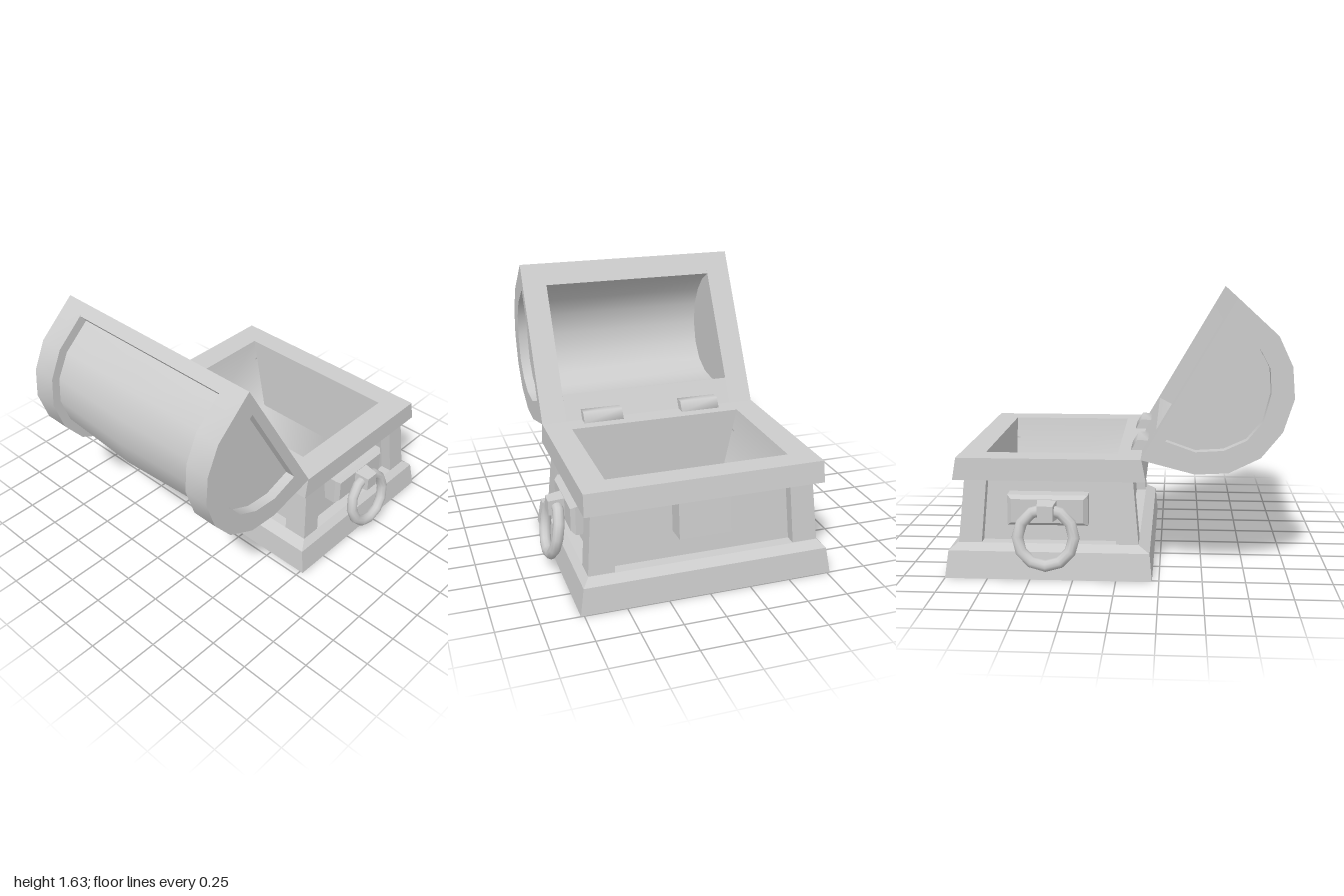
import * as THREE from 'three';
import { toCreasedNormals } from 'three/addons/utils/BufferGeometryUtils.js';

const material = new THREE.MeshStandardMaterial({ color: 0xcccccc, side: THREE.DoubleSide });

function add(parent, name, geometry) {
  const mesh = new THREE.Mesh(geometry, material);
  mesh.name = name;
  parent.add(mesh);
  return mesh;
}

// Faceted skin over rectangles [y, x0, x1, z0, z1]; optional end caps
function loft(rings, capEnd = false) {
  const loops = rings.map(([y, x0, x1, z0, z1]) =>
    [[x0, y, z1], [x1, y, z1], [x1, y, z0], [x0, y, z0]]);
  const pos = [];
  const quad = (a, b, c, d) => pos.push(...a, ...b, ...c, ...a, ...c, ...d);
  for (let i = 0; i < loops.length - 1; i++) {
    for (let j = 0; j < 4; j++) {
      const k = (j + 1) % 4;
      quad(loops[i][j], loops[i][k], loops[i + 1][k], loops[i + 1][j]);
    }
  }
  if (capEnd) quad(...loops[loops.length - 1]);
  const g = new THREE.BufferGeometry();
  g.setAttribute('position', new THREE.Float32BufferAttribute(pos, 3));
  g.computeVertexNormals();
  return g;
}
const sym = (y, x0, x1, z) => [y, x0, x1, -z, z];

// Prism of an x-y outline between two z values, smooth around gentle bends
function prism(points, z0, z1, { hole, crease = 0.6, steps = 1 } = {}) {
  const toV = (list) => list.map(([x, y]) => new THREE.Vector2(x, y));
  const shape = new THREE.Shape(toV(points));
  if (hole) shape.holes.push(new THREE.Path(toV(hole)));
  const g = new THREE.ExtrudeGeometry(shape, { depth: z1 - z0, steps, bevelEnabled: false });
  g.translate(0, 0, z0);
  return toCreasedNormals(g, crease);
}

function buildBase() {
  const base = new THREE.Group();
  base.name = 'base';
  // Open-bottomed skirt with a bevelled shoulder
  add(base, 'skirt', loft([sym(0, -0.21, 1, 0.77), sym(0.16, -0.195, 0.98, 0.745),
    sym(0.2, -0.13, 0.93, 0.705), sym(0.2, -0.065, 0.86, 0.635)]));
  add(base, 'recessedWalls', loft([sym(0.2, -0.065, 0.86, 0.635), sym(0.58, -0.03, 0.825, 0.605)]));
  add(base, 'rim', loft([sym(0.58, -0.03, 0.825, 0.605), sym(0.58, -0.17, 0.95, 0.725),
    sym(0.71, -0.145, 0.928, 0.722), sym(0.71, 0, 0.78, 0.56)]));

  // Cavity with sloping sides that blend softly into the floor
  const cavity = loft([sym(0.71, 0, 0.78, 0.56), sym(0.185, 0, 0.78, 0.45)], true);
  add(base, 'interior', toCreasedNormals(cavity, 1.45));
  const underside = new THREE.PlaneGeometry(1.09, 1.44).rotateX(Math.PI / 2);
  add(base, 'underside', underside).position.set(0.4, 0.18, 0);

  // Tapered corner posts
  for (const s of [1, -1]) {
    const zs = (a, b) => (s > 0 ? [a, b] : [-b, -a]);
    add(base, 'cornerPost', loft([[0.2, -0.13, 0, ...zs(0.55, 0.705)],
      [0.58, -0.095, 0.035, ...zs(0.53, 0.675)]]));
    add(base, 'cornerPost', loft([[0.2, 0.79, 0.925, ...zs(0.55, 0.705)],
      [0.58, 0.76, 0.89, ...zs(0.53, 0.675)]]));
  }

  // Lock flap on the front wall
  add(base, 'lockFlap', prism([[0.81, 0.58], [0.83, 0.36], [0.97, 0.365], [0.948, 0.58]], -0.135, 0.18));
  return base;
}

function buildHandle() {
  const handle = new THREE.Group();
  handle.name = 'sideHandle';
  const plate = loft([sym(0.6, -0.235, 0.235, 0.09), sym(0.7, -0.235, 0.235, 0.09),
    sym(0.725, -0.21, 0.21, 0.07)], true).rotateX(Math.PI / 2);
  add(handle, 'handlePlate', plate).position.y = 0.4;
  const bracket = loft([sym(0.7, -0.06, 0.06, 0.06), sym(0.82, -0.045, 0.045, 0.045)], true)
    .rotateX(Math.PI / 2);
  add(handle, 'handleBracket', bracket).position.y = 0.41;
  const ring = add(handle, 'handleRing', new THREE.TorusGeometry(0.163, 0.034, 10, 12));
  ring.position.set(0, 0.265, 0.795);
  ring.rotation.x = -0.19;
  return handle;
}

function buildLid() {
  const lid = new THREE.Group();
  lid.name = 'lid';
  const outer = [[-0.675, 1.63], [-0.905, 1.42], [-0.985, 1.25], [-1, 1.07], [-0.94, 0.88],
    [-0.82, 0.73], [-0.64, 0.64], [-0.45, 0.63], [-0.14, 0.71]];
  const inset = [[-0.65, 1.47], [-0.8, 1.35], [-0.86, 1.24], [-0.87, 1.1], [-0.83, 0.94],
    [-0.74, 0.83], [-0.61, 0.77], [-0.45, 0.76], [-0.28, 0.82]];

  // End bands framing sunken D-shaped panels
  for (const s of [1, -1]) {
    const span = (a, b) => (s > 0 ? [a, b] : [-b, -a]);
    add(lid, 'endBand', prism(outer, ...span(0.565, 0.722), { hole: inset }));
    add(lid, 'endPanel', prism(inset, ...span(0.565, 0.66)));
  }

  // Hollow barrel with raised rails along both long edges
  const topRail = [[-0.675, 1.63], [-0.735, 1.575], [-0.695, 1.528]];
  const arc = [[-0.858, 1.382], [-0.934, 1.232], [-0.947, 1.077], [-0.894, 0.913],
    [-0.786, 0.78], [-0.626, 0.696], [-0.457, 0.686]];
  const hingeRail = [[-0.25, 0.74], [-0.235, 0.686], [-0.14, 0.71]];
  const cavity = [[-0.225, 0.86], [-0.34, 0.8], [-0.47, 0.775], [-0.61, 0.79], [-0.73, 0.85], [-0.81, 0.95],
    [-0.85, 1.09], [-0.84, 1.23], [-0.78, 1.35], [-0.7, 1.44], [-0.6, 1.5]];
  const barrel = prism([...topRail, ...arc, ...hingeRail, ...cavity], -0.565, 0.565, { steps: 2 });
  // The outer skin swells slightly towards the middle
  const p = barrel.attributes.position;
  for (let i = 0; i < p.count; i++) {
    const x = p.getX(i), y = p.getY(i);
    const onArc = arc.some(([ax, ay]) => Math.hypot(ax - x, ay - y) < 1e-4);
    if (onArc && Math.abs(p.getZ(i)) < 0.01) p.setXY(i, x + 0.075 * (x + 0.58), y + 0.075 * (y - 1.08));
  }
  add(lid, 'barrel', toCreasedNormals(barrel, 0.6));
  return lid;
}

export function createModel() {
  const chest = new THREE.Group();
  chest.name = 'chest';
  chest.add(buildBase(), buildLid());

  // A handle on each end
  for (const turn of [0, Math.PI]) {
    const handle = buildHandle();
    handle.position.x = 0.4;
    handle.rotation.y = turn;
    chest.add(handle);
  }

  // Two rounded hinge knuckles
  const knuckle = [[-0.18, 0.77], [-0.2, 0.71], [-0.165, 0.655], [-0.11, 0.66], [-0.072, 0.71], [-0.11, 0.772]];
  for (const z of [0.2, -0.46]) add(chest, 'hinge', prism(knuckle, z, z + 0.26, { crease: 1.3 }));
  return chest;
}
